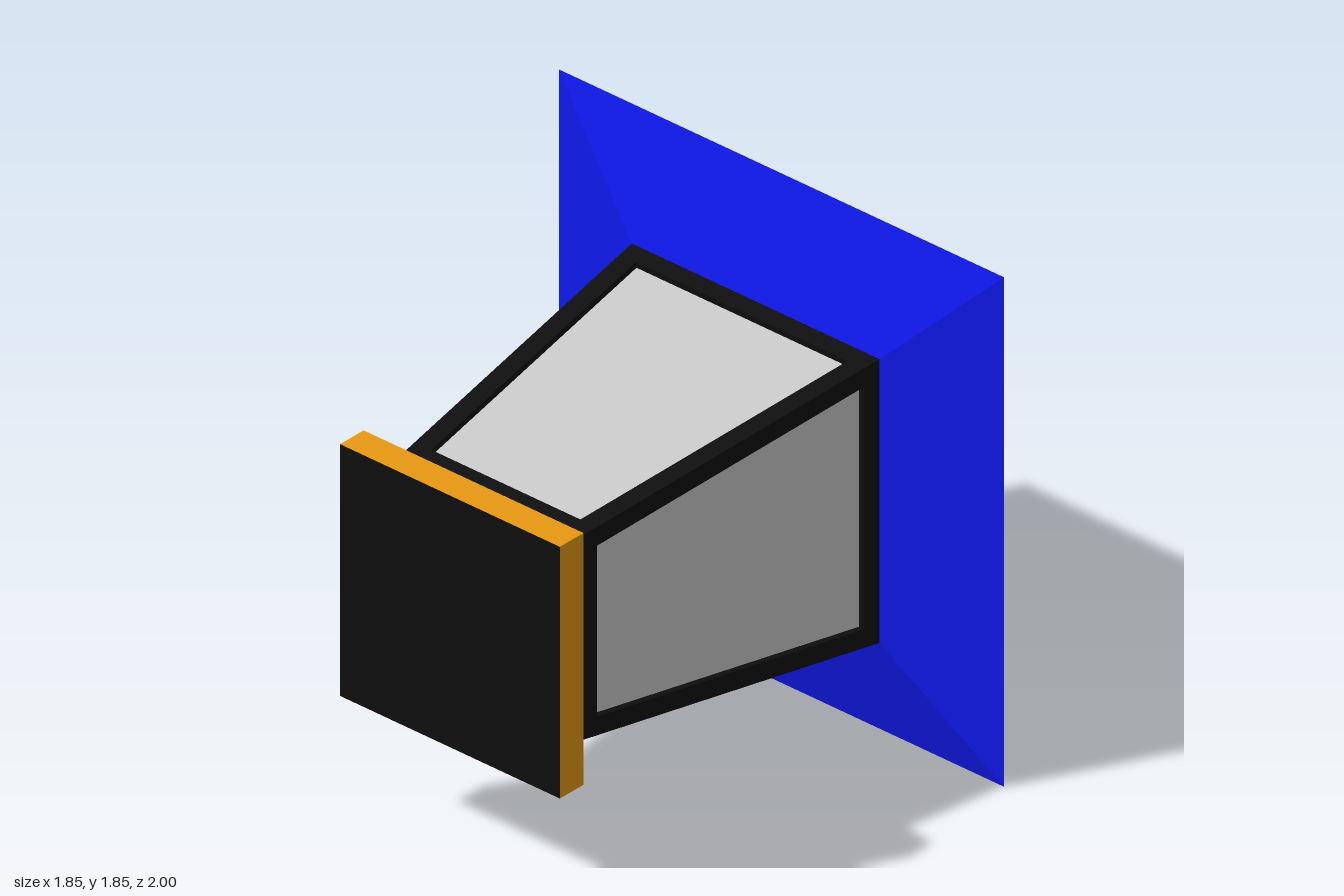
import * as THREE from 'three';

const mat = (color) => new THREE.MeshStandardMaterial({ color, flatShading: true });

// Square frustum along z: half-width backHalf at backZ, frontHalf at frontZ
function frustum(name, backHalf, backZ, frontHalf, frontZ, material, open = true) {
  const r = Math.SQRT2;
  const geo = new THREE.CylinderGeometry(frontHalf * r, backHalf * r, frontZ - backZ, 4, 1, open, Math.PI / 4);
  geo.rotateX(Math.PI / 2).translate(0, 0, (frontZ + backZ) / 2);
  const mesh = new THREE.Mesh(geo, material);
  mesh.name = name;
  return mesh;
}

export function createModel() {
  const model = new THREE.Group();
  model.name = 'lantern';
  const body = new THREE.Group();
  body.name = 'lanternBody';
  body.position.y = 0.925;
  model.add(body);

  const blue = mat(0x1019ee), black = mat(0x0f0f0f), amber = mat(0xe89a12), grey = mat(0xcccccc);

  // Pyramid roof with its sloping eaves
  body.add(
    frustum('roof', 0, -1, 0.925, -0.54, blue),
    frustum('eaves', 0.925, -0.54, 0.515, -0.42, blue)
  );

  // Base: chamfered collar, plinth and dark bottom plate
  body.add(
    frustum('baseCollar', 0.37, 0.81, 0.457, 0.89, amber),
    frustum('basePlinth', 0.457, 0.89, 0.457, 1, amber)
  );
  const plate = new THREE.Mesh(new THREE.PlaneGeometry(0.914, 0.914), black);
  plate.name = 'bottomPlate';
  plate.position.z = 1;
  body.add(plate);

  // Tapered panes, set back behind the frames
  const recess = 0.022;
  body.add(frustum('panes', 0.515 - recess, -0.42, 0.37 - recess, 0.81, grey));

  // Four tapered window frames
  const rise = 0.145, run = 1.23;
  const slope = Math.atan2(rise, run), length = Math.hypot(rise, run);
  const trapezoid = (w0, s0, w1, s1) =>
    [[-w0, s0], [w0, s0], [w1, s1], [-w1, s1]].map(([x, y]) => new THREE.Vector2(x, y));
  const shape = new THREE.Shape(trapezoid(0.515, 0, 0.37, length));
  shape.holes.push(new THREE.Path(trapezoid(0.44, 0.065, 0.31, length - 0.07).reverse()));
  const frameGeo = new THREE.ExtrudeGeometry(shape, { depth: 0.03, bevelEnabled: false });
  frameGeo.translate(0, 0, -0.03);
  const s = Math.sin(slope), c = Math.cos(slope);
  frameGeo.applyMatrix4(new THREE.Matrix4().makeBasis(
    new THREE.Vector3(-1, 0, 0), new THREE.Vector3(0, -s, c), new THREE.Vector3(0, c, s)
  ).setPosition(0, 0.515, -0.42));
  for (const [i, side] of ['top', 'right', 'bottom', 'left'].entries()) {
    const frame = new THREE.Mesh(frameGeo, black);
    frame.name = side + 'Frame';
    frame.rotation.z = i * Math.PI / 2;
    body.add(frame);
  }
  return model;
}
